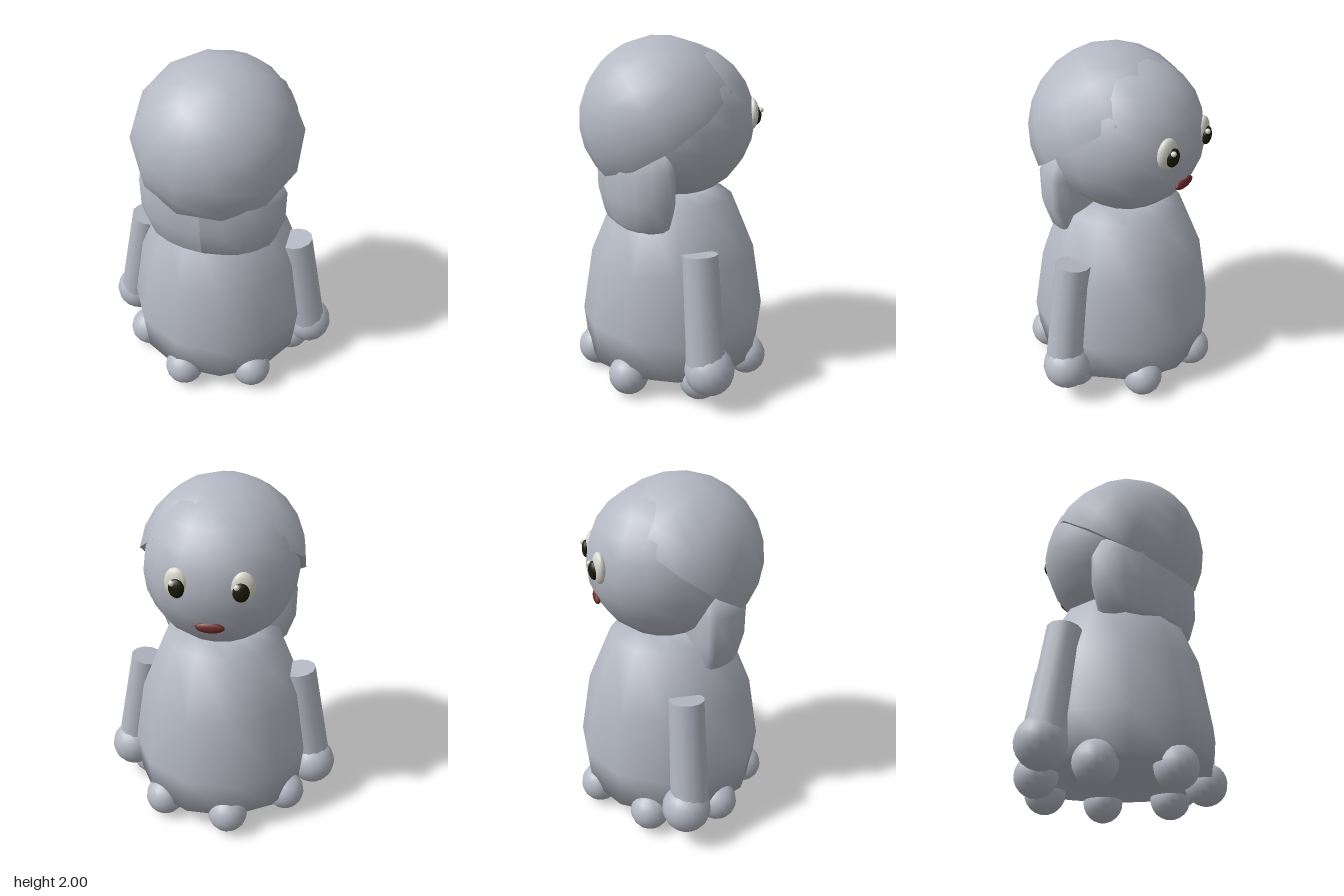
import * as THREE from 'three';

const mat = (name, color) => {
  const m = new THREE.MeshStandardMaterial({ color });
  m.name = name;
  return m;
};

export function createModel() {
  const grey = mat('clay grey', 0xb4b8c3);
  const white = mat('eye white', 0xd9d9cf);
  const black = mat('pupil black', 0x1a1a08);
  const red = mat('mouth red', 0x6e2c2c);

  const model = new THREE.Group();
  model.name = 'figurine';

  const add = (name, geo, material, x, y, z, parent = model) => {
    const mesh = new THREE.Mesh(geo, material);
    mesh.name = name;
    mesh.position.set(x, y, z);
    parent.add(mesh);
    return mesh;
  };
  const ball = (name, r, material, x, y, z, parent) =>
    add(name, new THREE.SphereGeometry(r, 16, 12), material, x, y, z, parent);
  const lathe = (points, segments, start = 0) =>
    new THREE.LatheGeometry(points.map(([r, y]) => new THREE.Vector2(r, y)), segments, start);

  // Bell-shaped body with flat front, back and sides
  const body = add('body', lathe([
    [0, 0.13], [0.525, 0.13], [0.55, 0.37], [0.487, 0.75], [0.345, 1.09], [0.2, 1.13], [0, 1.13],
  ], 12, Math.PI / 12), grey, 0, 0, 0);
  body.scale.x = 0.98;

  // Ring of seven round feet
  for (let i = 0; i < 7; i++) {
    const a = (i / 7) * Math.PI * 2;
    ball('foot', 0.117, grey, 0.47 * Math.cos(a), 0.117, 0.47 * Math.sin(a));
  }

  // Arms and hands
  for (const s of [-1, 1]) {
    const arm = add(s > 0 ? 'leftArm' : 'rightArm',
      new THREE.CylinderGeometry(0.1, 0.112, 0.62, 12), grey, s * 0.513, 0.572, 0);
    arm.rotation.z = s * 0.175;
    ball(s > 0 ? 'leftHand' : 'rightHand', 0.14, grey, s * 0.575, 0.225, -0.02);
  }

  // Head, with the face towards -z
  ball('head', 0.435, grey, 0, 1.53, -0.03);

  // Hair cap: a hemisphere tipped backwards
  const hair = new THREE.Group();
  hair.name = 'hair';
  hair.position.set(0, 1.53, 0.06);
  hair.rotation.x = 0.615;
  model.add(hair);
  add('hairCap', new THREE.SphereGeometry(0.475, 12, 6, Math.PI / 12, Math.PI * 2, 0, Math.PI / 2),
    grey, 0, 0, 0, hair);
  const underside = add('hairUnderside', new THREE.CircleGeometry(0.475, 12, Math.PI / 12),
    grey, 0, 0, 0, hair);
  underside.rotation.x = Math.PI / 2;

  // Hair hanging over the neck: deeper at the back than the front
  const lock = lathe([
    [0, 0.98], [0.3, 0.95], [0.365, 1.0], [0.415, 1.14], [0.418, 1.32], [0.36, 1.43], [0, 1.45],
  ], 20);
  const p = lock.attributes.position;
  for (let i = 0; i < p.count; i++) {
    const z = p.getZ(i);
    p.setZ(i, z * (z > 0 ? 0.63 : 0.29));
  }
  lock.computeVertexNormals();
  add('backHair', lock, grey, 0, 0, 0.17);

  // Eyes with pupils and highlights
  for (const s of [-1, 1]) {
    const eye = new THREE.Group();
    eye.name = s > 0 ? 'leftEye' : 'rightEye';
    model.add(eye);
    const eyeball = ball('eyeWhite', 1, white, s * 0.172, 1.57, -0.412, eye);
    eyeball.scale.set(0.066, 0.088, 0.034);
    eyeball.rotation.y = -s * 0.2;
    const pupil = ball('pupil', 1, black, s * 0.166, 1.557, -0.442, eye);
    pupil.scale.set(0.044, 0.052, 0.026);
    pupil.rotation.y = -s * 0.2;
    ball('highlight', 0.015, white, s * 0.166 + 0.02, 1.59, -0.459, eye);
  }

  // Mouth
  ball('mouth', 1, red, 0, 1.33, -0.415).scale.set(0.08, 0.031, 0.021);

  return model;
}
